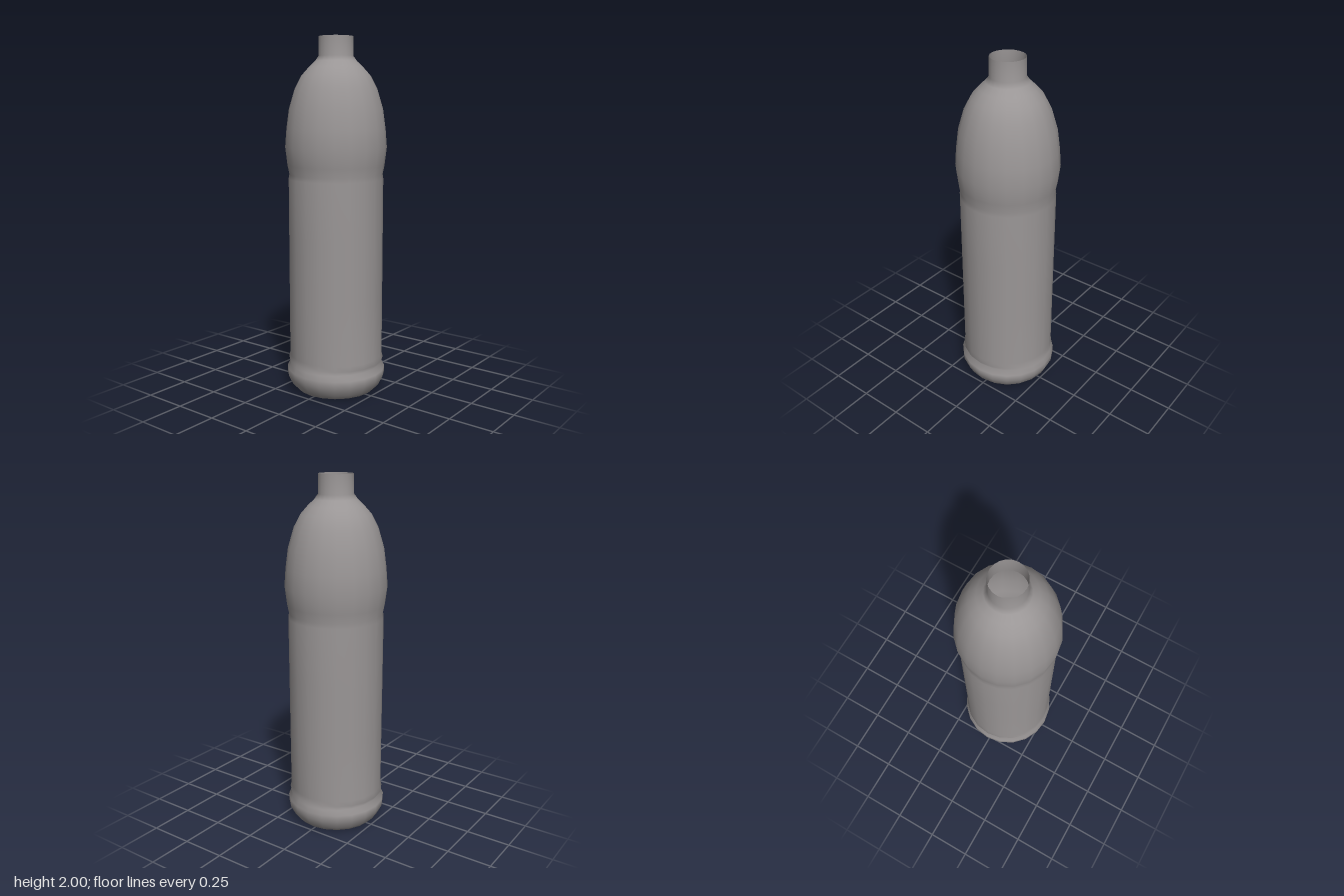
import * as THREE from 'three';
import { mergeVertices } from 'three/addons/utils/BufferGeometryUtils.js';

export function createModel() {
  const group = new THREE.Group();
  group.name = 'bottle';
  const plastic = new THREE.MeshStandardMaterial({ color: 0x9a9696, side: THREE.DoubleSide });
  plastic.name = 'grey plastic';

  // Profile rows: radius on the sides, height, radius towards front and back
  const rows = [
    [0, 0.005], [0.228, 0.017], [0.255, 0.045], [0.28, 0.095], [0.281, 0.135],
    [0.272, 0.165, 0.259], [0.268, 0.188, 0.273], [0.265, 0.215],
    [0.265, 0.55], [0.265, 0.9], [0.265, 1.225], [0.261, 1.25],
    [0.271, 1.3], [0.283, 1.4], [0.275, 1.5], [0.26, 1.61], [0.227, 1.72],
    [0.19, 1.79], [0.15, 1.835], [0.115, 1.868], [0.096, 1.895], [0.095, 2],
  ];
  const profile = rows.map(([r, y]) => new THREE.Vector2(r, y));
  let geometry = new THREE.LatheGeometry(profile, 20);

  // Pinch the groove above the base on the front and back only
  const pos = geometry.attributes.position;
  for (let i = 0; i < pos.count; i++) {
    const [side, , front] = rows[i % rows.length];
    if (front === undefined) continue;
    const x = pos.getX(i), z = pos.getZ(i);
    const s = 1 + (front / side - 1) * (z * z) / (side * side);
    pos.setX(i, x * s);
    pos.setZ(i, z * s);
  }

  // Weld the seam so the shading is smooth all round; the neck stays open
  geometry.deleteAttribute('uv');
  geometry.deleteAttribute('normal');
  geometry = mergeVertices(geometry, 1e-4);
  geometry.computeVertexNormals();

  const body = new THREE.Mesh(geometry, plastic);
  body.name = 'bottleBody';
  group.add(body);
  return group;
}
